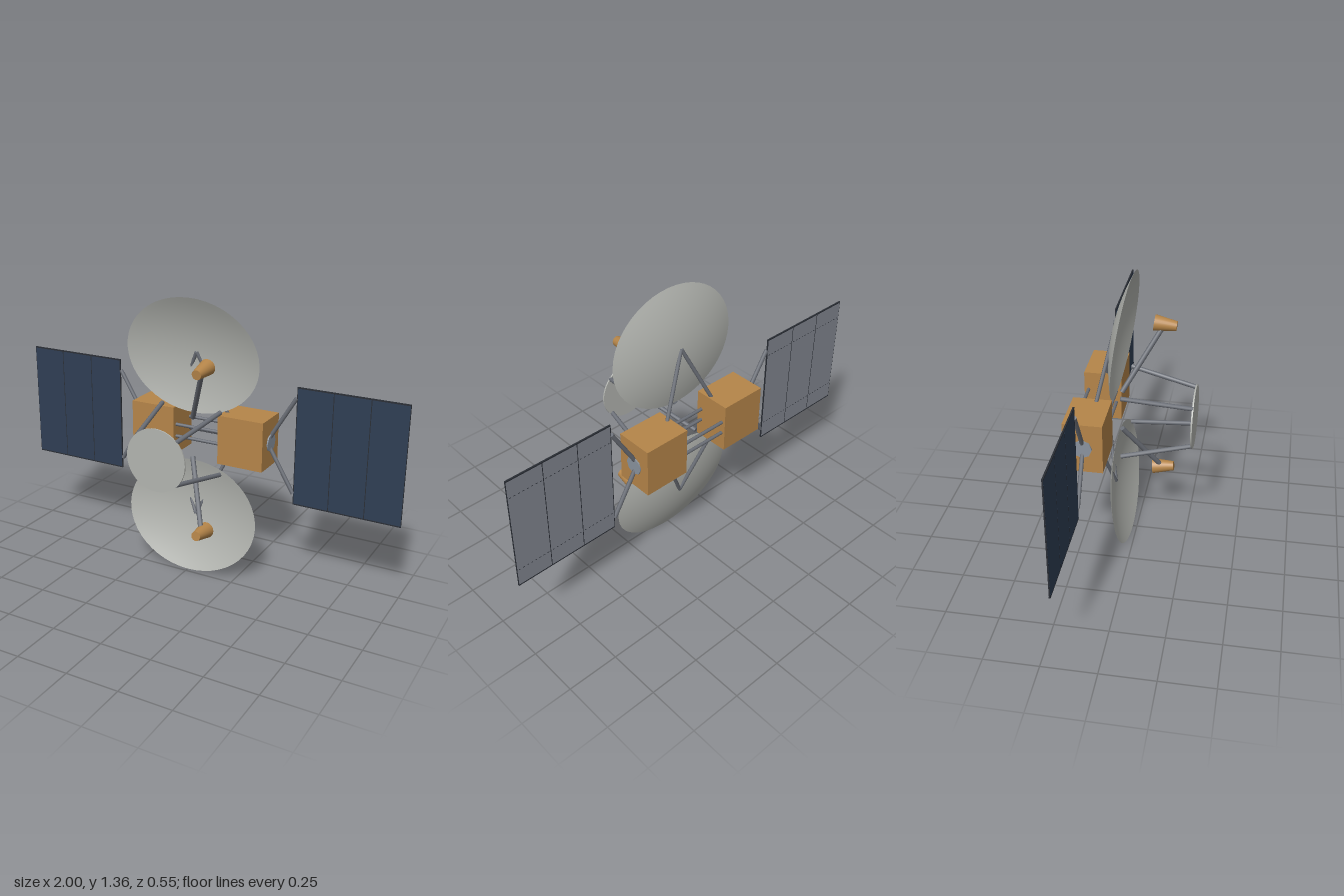
import * as THREE from 'three';

const mat = (name, color, side = THREE.FrontSide) => {
  const m = new THREE.MeshStandardMaterial({ color, side });
  m.name = name;
  return m;
};

export function createModel() {
  const gold = mat('goldFoil', 0xb58549);
  const dishGrey = mat('dishGrey', 0xb2b4af, THREE.DoubleSide);
  const strutGrey = mat('strutGrey', 0x6a6e76);
  const hubGrey = mat('hubGrey', 0x8a939e);
  const cellBlue = mat('cellBlue', 0x2f3e54);
  const backGrey = mat('panelBackGrey', 0x80848e);
  const frameDark = mat('frameDark', 0x2a2e35);

  const root = new THREE.Group();
  root.name = 'satellite';
  const MID = 0.69, Z = -0.187;

  const add = (name, geo, material, x = 0, y = 0, z = 0) => {
    const mesh = new THREE.Mesh(geo, material);
    mesh.name = name;
    mesh.position.set(x, y, z);
    root.add(mesh);
    return mesh;
  };
  const box = (name, w, h, d, material, x, y, z) =>
    add(name, new THREE.BoxGeometry(w, h, d), material, x, y, z);

  // Round bar (or cone) between two points
  const bar = (name, a, b, r, material = strutGrey, rEnd = r, sides = 10) => {
    const p = new THREE.Vector3(...a), q = new THREE.Vector3(...b);
    const dir = q.clone().sub(p);
    const mesh = add(name, new THREE.CylinderGeometry(rEnd, r, dir.length(), sides), material);
    mesh.position.copy(p).add(q).multiplyScalar(0.5);
    mesh.quaternion.setFromUnitVectors(new THREE.Vector3(0, 1, 0), dir.normalize());
    return mesh;
  };

  // Shallow parabolic bowl, unit radius, opening toward +z
  const profile = [];
  for (let i = 0; i <= 12; i++) {
    const r = i / 12;
    profile.push(new THREE.Vector2(r, r * r - 1));
  }
  const bowl = new THREE.LatheGeometry(profile, 48).rotateX(Math.PI / 2);
  bowl.scale(0.345, 0.282, 0.054);

  for (const s of [-1, 1]) {
    // Equipment box and octagonal hub on its outer side
    box('equipmentBox', 0.232, 0.242, 0.18, gold, s * 0.235, MID, -0.185);
    bar('panelHub', [s * 0.345, MID, Z], [s * 0.357, MID, Z], 0.045, hubGrey, 0.045, 8);

    // Solar wing: three panels, blue in front and grey behind
    for (let i = 0; i < 3; i++) {
      const x = s * (0.565 + i * 0.174);
      box('solarCells', 0.17, 0.568, 0.003, cellBlue, x, MID, Z + 0.0017);
      box('solarBacking', 0.17, 0.568, 0.003, backGrey, x, MID, Z - 0.0017);
      // Dashed seams on the back
      for (const v of [-1, 1]) for (let k = 0; k < 8; k++)
        box('backSeam', 0.008, 0.003, 0.001, frameDark,
          x + (k - 3.5) * 0.021, MID + v * 0.2, Z - 0.0035);
    }
    for (const x of [0.478, 0.652, 0.826, 0.998])
      box('wingRib', 0.004, 0.58, 0.006, frameDark, s * x, MID, Z);
    for (const v of [-1, 1]) {
      box('wingEdge', 0.524, 0.006, 0.007, frameDark, s * 0.738, MID + v * 0.287, Z);
      // Yoke arm from hub to wing
      bar('wingYoke', [s * 0.345, MID + v * 0.02, Z], [s * 0.473, MID + v * 0.235, Z], 0.01);
      // Legs of the front disc
      bar('discLeg', [s * 0.155, MID + v * 0.155, -0.05], [s * 0.1, MID + v * 0.1, 0.272], 0.011);
      // Legs behind the big dish
      bar('dishLeg', [s * 0.14, MID + v * 0.11, -0.165], [0, MID + v * 0.41, -0.104], 0.009);
    }
  }

  for (const v of [-1, 1]) {
    // Large oval dish, tilted toward the middle
    const dish = add('mainDish', bowl, dishGrey, 0, MID + v * 0.4, -0.053);
    dish.rotation.x = v * 0.115;

    // Feed boom and horn
    bar('feedBoom', [0, MID + v * 0.1, -0.07], [0.138, MID + v * 0.385, 0.1], 0.012);
    bar('feedHorn', [0.144, MID + v * 0.399, 0.059], [0.144, MID + v * 0.388, 0.163],
      0.038, gold, 0.023, 24);

    // Rods joining the two boxes
    for (const z of [-0.255, -0.12])
      bar('crossRod', [-0.125, MID + v * 0.03, z], [0.125, MID + v * 0.03, z], 0.008);
  }

  // Flat round disc at the front
  bar('frontDisc', [0, MID, 0.269], [0, MID, 0.276], 0.15, dishGrey, 0.15, 40);

  return root;
}
